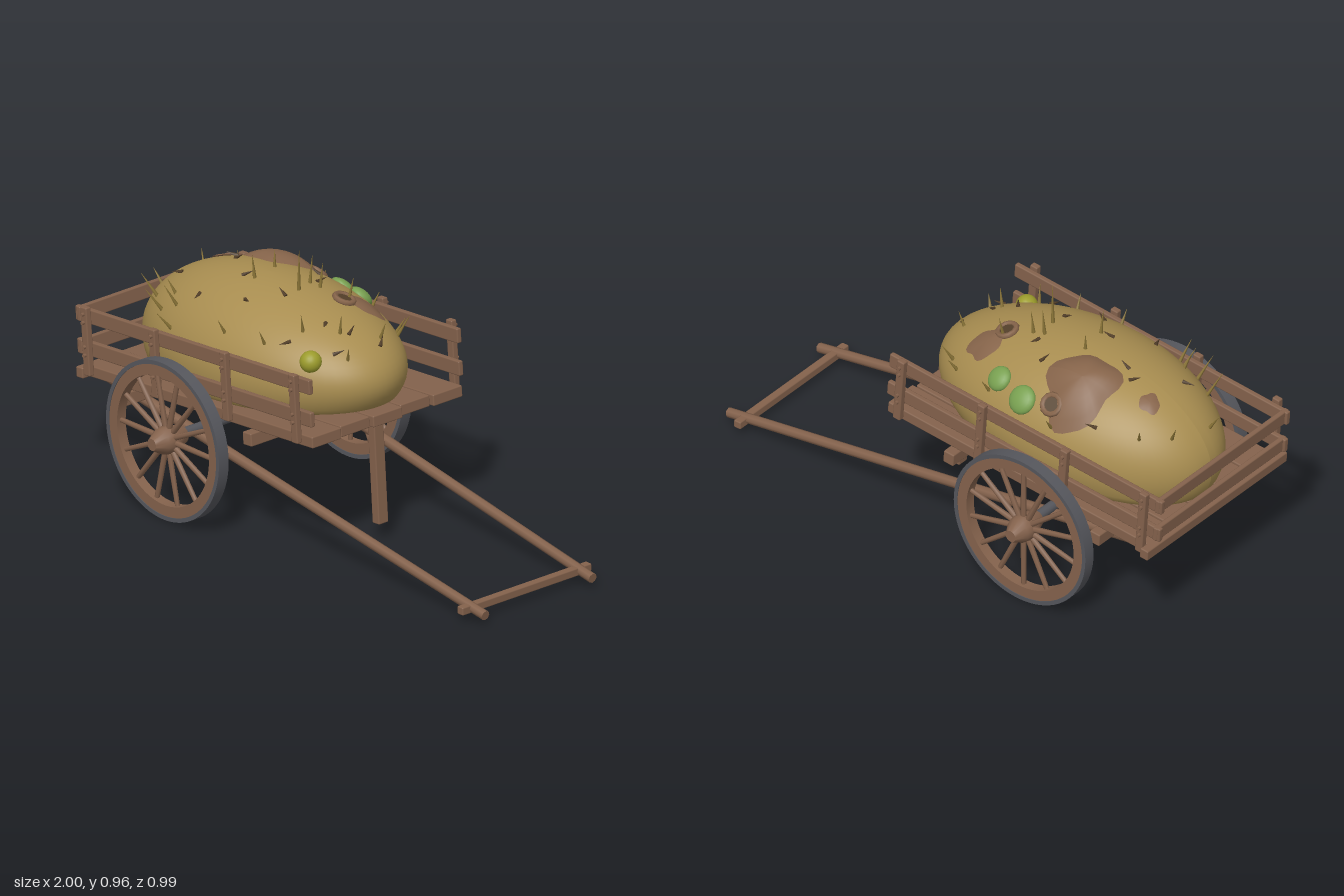
import * as THREE from 'three';
import { toCreasedNormals } from 'three/addons/utils/BufferGeometryUtils.js';
import { RoundedBoxGeometry } from 'three/addons/geometries/RoundedBoxGeometry.js';

const mat = (name, color, side = THREE.FrontSide) => {
  const m = new THREE.MeshStandardMaterial({ color, side });
  m.name = name;
  return m;
};

const WOOD = mat('wood', 0x84624c);
const IRON = mat('iron', 0x55565c);
const SKIN = mat('tuber skin', 0xa88d50);
const SCAB = mat('brown scab', 0x86644a, THREE.DoubleSide);
const DARK = mat('dark bark', 0x54402a);
const THORN = mat('thorn', 0x8c7638);
const GREEN = mat('green growth', 0x78a050);
const YELLOW = mat('yellow growth', 0x9c9c2c);

function add(parent, name, geo, material, x = 0, y = 0, z = 0) {
  const m = new THREE.Mesh(geo, material);
  m.name = name;
  m.position.set(x, y, z);
  parent.add(m);
  return m;
}

const beam = (parent, name, w, h, d, x, y, z) =>
  add(parent, name, new RoundedBoxGeometry(w, h, d, 1, 0.005), WOOD, x, y, z);

// Round pole between two points
function pole(parent, name, a, b, r, material, sides = 8, tip = r) {
  const dir = new THREE.Vector3().subVectors(b, a);
  const m = add(parent, name, new THREE.CylinderGeometry(tip, r, dir.length(), sides), material);
  m.position.addVectors(a, b).multiplyScalar(0.5);
  m.quaternion.setFromUnitVectors(new THREE.Vector3(0, 1, 0), dir.normalize());
  return m;
}
const V = (x, y, z) => new THREE.Vector3(x, y, z);

// Flat ring with thickness, facing z
function ringGeo(outer, inner, depth) {
  const s = new THREE.Shape().absarc(0, 0, outer, 0, Math.PI * 2, false);
  s.holes.push(new THREE.Path().absarc(0, 0, inner, 0, Math.PI * 2, true));
  const g = new THREE.ExtrudeGeometry(s, { depth, bevelEnabled: false, curveSegments: 40 });
  g.translate(0, 0, -depth / 2);
  return toCreasedNormals(g, 0.6);
}

function makeWheel(name, twist) {
  const w = new THREE.Group();
  w.name = name;
  add(w, 'tyre', ringGeo(0.29, 0.275, 0.045), IRON);
  add(w, 'rim', ringGeo(0.277, 0.236, 0.04), WOOD);
  const n = 14;
  for (let i = 0; i < n; i++) {
    const a = (i / n) * Math.PI * 2 + twist;
    const c = Math.cos(a), s = Math.sin(a);
    pole(w, 'spoke', V(c * 0.03, s * 0.03, 0), V(c * 0.245, s * 0.245, 0), 0.011, WOOD, 6, 0.009);
  }
  const profile = [[0, -0.072], [0.03, -0.072], [0.048, -0.025], [0.052, 0], [0.046, 0.03], [0.022, 0.072], [0, 0.072]];
  const hub = new THREE.LatheGeometry(profile.map(p => new THREE.Vector2(...p)), 14);
  add(w, 'hub', toCreasedNormals(hub, 0.7), WOOD).rotation.x = Math.PI / 2;
  return w;
}

// Tuber surface in bed coordinates
const T = { x: -0.355, y: 0.1, rx: 0.572, ry: 0.28, rz: 0.337 };
const lean = u => 1 - 0.15 * u;
function surfaceY(x, z) {
  const u = (x - T.x) / T.rx, w = z / T.rz;
  return T.y + T.ry * lean(u) * Math.sqrt(Math.max(0, 1 - u * u - w * w));
}
function surfaceNormal(x, z) {
  const e = 0.004;
  return V((surfaceY(x - e, z) - surfaceY(x + e, z)) / (2 * e), 1,
    (surfaceY(x, z - e) - surfaceY(x, z + e)) / (2 * e)).normalize();
}

function makeTuber() {
  const g = new THREE.Group();
  g.name = 'tuber';

  // Body: sphere stretched along x and flattened where it rests
  const body = new THREE.SphereGeometry(1, 64, 40);
  const p = body.attributes.position;
  for (let i = 0; i < p.count; i++) {
    const u = p.getX(i);
    p.setXYZ(i, T.x + u * T.rx, Math.max(0.003, T.y + p.getY(i) * T.ry * lean(u)), p.getZ(i) * T.rz);
  }
  body.computeVertexNormals();
  add(g, 'tuberBody', body, SKIN);

  // Scabs: irregular discs draped on the skin, some swollen
  const scab = (name, x, z, r, swell, seed) => {
    const geo = new THREE.RingGeometry(0.0005, 1, 28, 6);
    geo.rotateX(-Math.PI / 2);
    const q = geo.attributes.position;
    for (let i = 0; i < q.count; i++) {
      const a = Math.atan2(q.getZ(i), q.getX(i)), t = Math.hypot(q.getX(i), q.getZ(i));
      const k = r * (1 + 0.1 * Math.sin(3 * a + seed) + 0.07 * Math.sin(5 * a + 2 * seed));
      const X = x + q.getX(i) * k, Z = z + q.getZ(i) * k;
      q.setXYZ(i, X, surfaceY(X, Z) + 0.004 + swell * (1 - t * t), Z);
    }
    geo.computeVertexNormals();
    add(g, name, geo, SCAB);
  };
  scab('bigScab', -0.47, -0.17, 0.125, 0.035, 1);
  scab('frontScab', -0.04, -0.15, 0.062, 0.008, 2);
  scab('rearScab', -0.70, -0.08, 0.036, 0.005, 4);

  // Craters: raised collar around a dark pit
  for (const [x, z, r, lift] of [[-0.42, -0.265, 0.034, 0.012], [-0.075, -0.085, 0.034, 0.004]]) {
    const c = new THREE.Group();
    c.name = 'crater';
    c.position.set(x, surfaceY(x, z) + lift, z);
    c.quaternion.setFromUnitVectors(V(0, 0, 1), surfaceNormal(x, z));
    add(c, 'craterCollar', new THREE.TorusGeometry(r, 0.011, 6, 12), SCAB);
    add(c, 'craterPit', new THREE.CircleGeometry(r, 12), DARK, 0, 0, 0.004);
    g.add(c);
  }

  // Round growths
  const growth = (name, m, x, z, r, flat) => {
    const o = add(g, name, new THREE.SphereGeometry(r, 18, 12), m, x, surfaceY(x, z), z);
    o.quaternion.setFromUnitVectors(V(0, 1, 0), surfaceNormal(x, z));
    o.scale.y = flat;
  };
  growth('greenGrowth', GREEN, -0.305, -0.28, 0.052, 0.5);
  growth('greenGrowth', GREEN, -0.18, -0.25, 0.046, 0.55);
  growth('yellowGrowth', YELLOW, 0.055, 0.195, 0.039, 1);

  // Thorns: x, z, length
  const thorns = [
    [-0.75, 0.18, 0.1], [-0.66, 0.24, 0.1], [-0.58, 0.24, 0.09], [-0.56, 0.29, 0.08], [-0.63, 0.2, 0.06],
    [-0.36, 0.07, 0.09], [-0.19, 0.02, 0.15], [-0.21, -0.05, 0.1], [-0.17, -0.06, 0.09], [-0.08, -0.11, 0.08],
    [-0.03, 0.15, 0.07], [0.06, 0.06, 0.07], [0.06, -0.2, 0.08], [0.02, -0.23, 0.06], [0.12, -0.07, 0.06],
    [-0.82, -0.1, 0.07], [-0.74, -0.18, 0.06], [-0.45, -0.3, 0.06], [-0.16, -0.28, 0.06], [-0.29, 0.28, 0.06],
    [-0.12, 0.25, 0.06], [-0.38, -0.04, 0.06], [0.14, 0.1, 0.05], [-0.86, 0.06, 0.06],
  ];
  for (const [x, z, len] of thorns) {
    const n = surfaceNormal(x, z).add(V(0, 0.7, 0)).normalize();
    const a = V(x, surfaceY(x, z), z).addScaledVector(n, -0.012);
    pole(g, 'thorn', a, a.clone().addScaledVector(n, len + 0.012), 0.008, THORN, 5, 0.0005);
  }

  // Dark scales lying almost flat on the skin
  const scales = [
    [-0.56, -0.02], [-0.59, -0.06], [-0.21, -0.08], [0, 0.07], [-0.19, 0.08], [-0.41, 0.08], [-0.04, 0.2],
    [0.08, 0.04], [-0.3, 0.17], [-0.7, 0.1], [0.1, 0.13], [-0.5, 0.2], [0.15, -0.04], [-0.6, -0.24], [-0.28, -0.16],
  ];
  scales.forEach(([x, z], i) => {
    const n = surfaceNormal(x, z);
    const side = V(Math.cos(i * 2.4), 0, Math.sin(i * 2.4)).projectOnPlane(n).normalize();
    const a = V(x, surfaceY(x, z), z);
    pole(g, 'scale', a, a.clone().addScaledVector(side, 0.04).addScaledVector(n, 0.016), 0.008, DARK, 5, 0.0005);
  });
  return g;
}

function makeBed() {
  const bed = new THREE.Group();
  bed.name = 'bed';

  // Floor planks, staggered a little
  for (let i = 0; i < 5; i++) {
    const shift = [0, -0.012, 0.004, -0.008, 0.002][i];
    beam(bed, 'plank', 1.16, 0.042, 0.134, -0.365 + shift, -0.021, (i - 2) * 0.14);
  }
  for (const x of [-0.73, -0.085]) beam(bed, 'crossBeam', 0.045, 0.048, 0.765, x, -0.066, 0);
  beam(bed, 'tailBeam', 0.035, 0.04, 0.765, -0.945, -0.02, 0);

  // Side rails, posts and bolts
  for (const s of [1, -1]) {
    for (const y of [0.063, 0.182]) beam(bed, 'sideRail', 1.205, 0.054, 0.02, -0.382, y, s * 0.342);
    for (const x of [-0.915, -0.565, -0.2, 0.155]) {
      beam(bed, 'post', 0.032, 0.25, 0.024, x, 0.097, s * 0.364);
      for (const y of [0.048, 0.078, 0.167, 0.197]) {
        add(bed, 'bolt', new THREE.CylinderGeometry(0.007, 0.007, 0.012, 6), WOOD, x, y, s * 0.38).rotation.x = Math.PI / 2;
      }
    }
  }
  for (const y of [0.063, 0.182]) beam(bed, 'tailRail', 0.02, 0.054, 0.71, -0.965, y, 0);
  bed.add(makeTuber());

  bed.position.y = 0.466;
  bed.rotation.z = 0.078;
  return bed;
}

export function createModel() {
  const model = new THREE.Group();
  model.name = 'handcart';
  const cart = new THREE.Group();
  cart.name = 'cart';
  cart.position.z = -0.006;
  model.add(cart);
  cart.add(makeBed());

  // Wheels and axle
  for (const s of [1, -1]) {
    const w = makeWheel(s > 0 ? 'leftWheel' : 'rightWheel', s > 0 ? 0 : Math.PI / 14);
    w.position.set(-0.444, 0.29, s * 0.422);
    if (s < 0) w.rotation.y = Math.PI;
    cart.add(w);
  }
  pole(cart, 'axle', V(-0.444, 0.293, -0.42), V(-0.444, 0.293, 0.42), 0.019, IRON, 12);

  // Pulling shafts, handle and prop
  for (const s of [1, -1]) pole(cart, 'shaft', V(-0.915, 0.34, s * 0.275), V(0.995, 0.036, s * 0.247), 0.02, WOOD, 8, 0.018);
  beam(cart, 'handle', 0.03, 0.03, 0.595, 0.92, 0.044, 0);
  beam(cart, 'prop', 0.036, 0.36, 0.045, 0.168, 0.238, 0).rotation.z = 0.07;
  return model;
}
